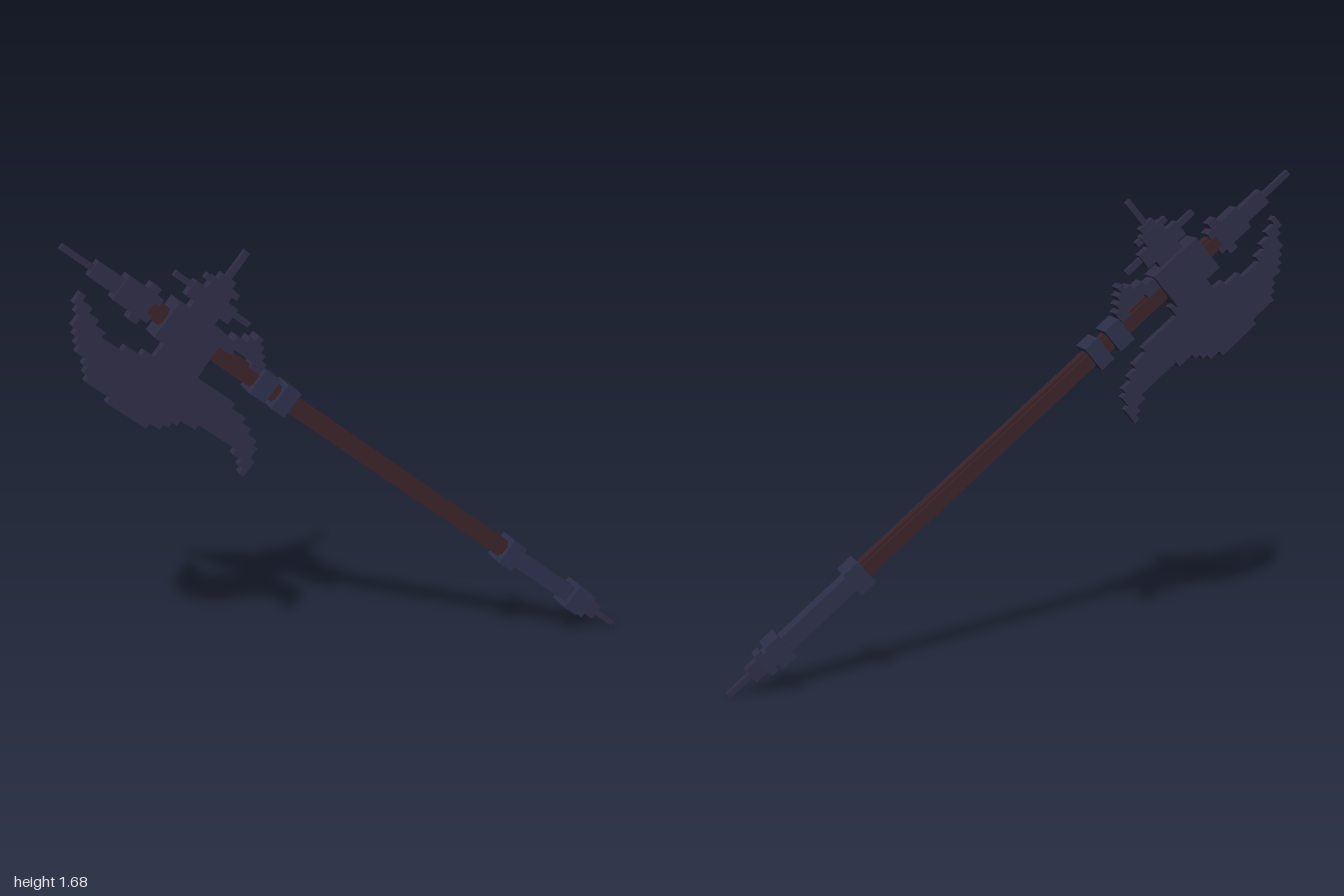
import * as THREE from 'three';
import { mergeGeometries } from 'three/addons/utils/BufferGeometryUtils.js';

const UNIT = 0.0204; // size of one stair step

const material = (name, color) => {
  const m = new THREE.MeshStandardMaterial({ color });
  m.name = name;
  return m;
};

// Box geometry spanning t0..t1 across the shaft, s0..s1 along it, and +-z deep
function slab(t0, t1, s0, s1, z) {
  return new THREE.BoxGeometry(t1 - t0, s1 - s0, z * 2).translate((t0 + t1) / 2, (s0 + s1) / 2, 0);
}

// Fill an outline of [s, t] points with stepped rows
function steppedPlate(outline, z) {
  const rows = [];
  const snap = (v) => Math.round(v / UNIT) * UNIT;
  const all = outline.map((p) => p[0]);
  const first = Math.floor(Math.min(...all) / UNIT), last = Math.ceil(Math.max(...all) / UNIT);
  for (let i = first; i < last; i++) {
    const s = (i + 0.5) * UNIT;
    const hits = [];
    outline.forEach(([s0, t0], k) => {
      const [s1, t1] = outline[(k + 1) % outline.length];
      if ((s0 <= s) !== (s1 <= s)) hits.push(t0 + ((s - s0) / (s1 - s0)) * (t1 - t0));
    });
    hits.sort((a, b) => a - b);
    for (let k = 0; k + 1 < hits.length; k += 2) {
      const t0 = snap(hits[k]);
      const t1 = Math.max(snap(hits[k + 1]), t0 + UNIT);
      rows.push(slab(t0, t1, i * UNIT, (i + 1) * UNIT, z));
    }
  }
  return mergeGeometries(rows);
}

export function createModel() {
  const model = new THREE.Group();
  model.name = 'battleAxe';
  const axe = new THREE.Group();
  axe.name = 'tiltedAxe';
  axe.rotation.z = THREE.MathUtils.degToRad(50);
  axe.position.y = 0.8425;
  model.add(axe);

  const steel = material('dark steel', 0x2e2d46);
  const band = material('blue steel', 0x2c304a);
  const wood = material('dark wood', 0x3a2329);

  const add = (name, geometry, mat) => {
    const mesh = new THREE.Mesh(geometry, mat);
    mesh.name = name;
    axe.add(mesh);
  };
  // Centred box: half width, start and end along the shaft, half depth
  const part = (name, half, s0, s1, z, mat) => add(name, slab(-half, half, s0, s1, z), mat);

  // Shaft with notched corners
  add('shaft', mergeGeometries([
    slab(-0.031, 0.031, -0.72, 0.95, 0.017),
    slab(-0.02, 0.02, -0.72, 0.95, 0.027),
  ]), wood);

  // Lower end
  part('lowerCollar', 0.048, -0.755, -0.69, 0.045, band);
  part('lowerGrip', 0.03, -1.05, -0.755, 0.027, band);
  part('pommelCollar', 0.048, -1.105, -1.045, 0.045, band);
  part('pommelNeck', 0.03, -1.125, -1.1, 0.027, band);
  part('pommelRing', 0.045, -1.148, -1.122, 0.027, band);
  part('pommelBlock', 0.028, -1.2, -1.14, 0.018, steel);
  part('pommelSpike', 0.01, -1.297, -1.19, 0.009, steel);

  // Collars under the head
  part('middleCollar', 0.048, 0.35, 0.408, 0.045, band);
  part('upperCollar', 0.046, 0.44, 0.505, 0.045, band);

  // Head block and top spike
  part('headBlock', 0.068, 0.69, 0.89, 0.045, steel);
  part('topSocket', 0.045, 0.93, 1.07, 0.027, steel);
  part('topRing', 0.068, 0.955, 0.99, 0.022, steel);
  part('topSpikeBase', 0.028, 1.06, 1.175, 0.018, steel);
  part('topSpike', 0.01, 1.165, 1.297, 0.009, steel);

  // Crescent blade
  add('blade', steppedPlate([
    [1.155, -0.085], [1.152, -0.125], [1.084, -0.213], [0.978, -0.295], [0.845, -0.326],
    [0.715, -0.322], [0.609, -0.245], [0.504, -0.218], [0.417, -0.222], [0.325, -0.291],
    [0.322, -0.235], [0.371, -0.176], [0.447, -0.135], [0.566, -0.094], [0.665, -0.098],
    [0.69, -0.05], [0.835, -0.05], [0.845, -0.118], [0.884, -0.136], [0.982, -0.17],
    [1.08, -0.127],
  ], 0.016), steel);

  // Stepped guard joining the head to the upper collar
  add('guard', steppedPlate([
    [0.7, 0.055], [0.66, 0.065], [0.61, 0.1], [0.58, 0.118], [0.56, 0.092], [0.5, 0.045],
    [0.5, 0.005], [0.56, 0.03], [0.59, 0.05], [0.64, 0.03], [0.7, 0.005],
  ], 0.03), steel);

  // Back spikes, star shaped: [t0, t1, half width along the shaft, half depth]
  const mid = 0.788;
  const star = [
    [0.06, 0.115, 0.052, 0.018], [0.095, 0.152, 0.088, 0.018], [0.122, 0.142, 0.157, 0.009],
    [0.15, 0.195, 0.045, 0.018], [0.172, 0.192, 0.068, 0.012], [0.19, 0.218, 0.03, 0.014],
    [0.2, 0.318, 0.011, 0.009],
  ];
  add('backSpikes', mergeGeometries(
    star.map(([t0, t1, h, z]) => slab(t0, t1, mid - h, mid + h, z)),
  ), steel);

  return model;
}
